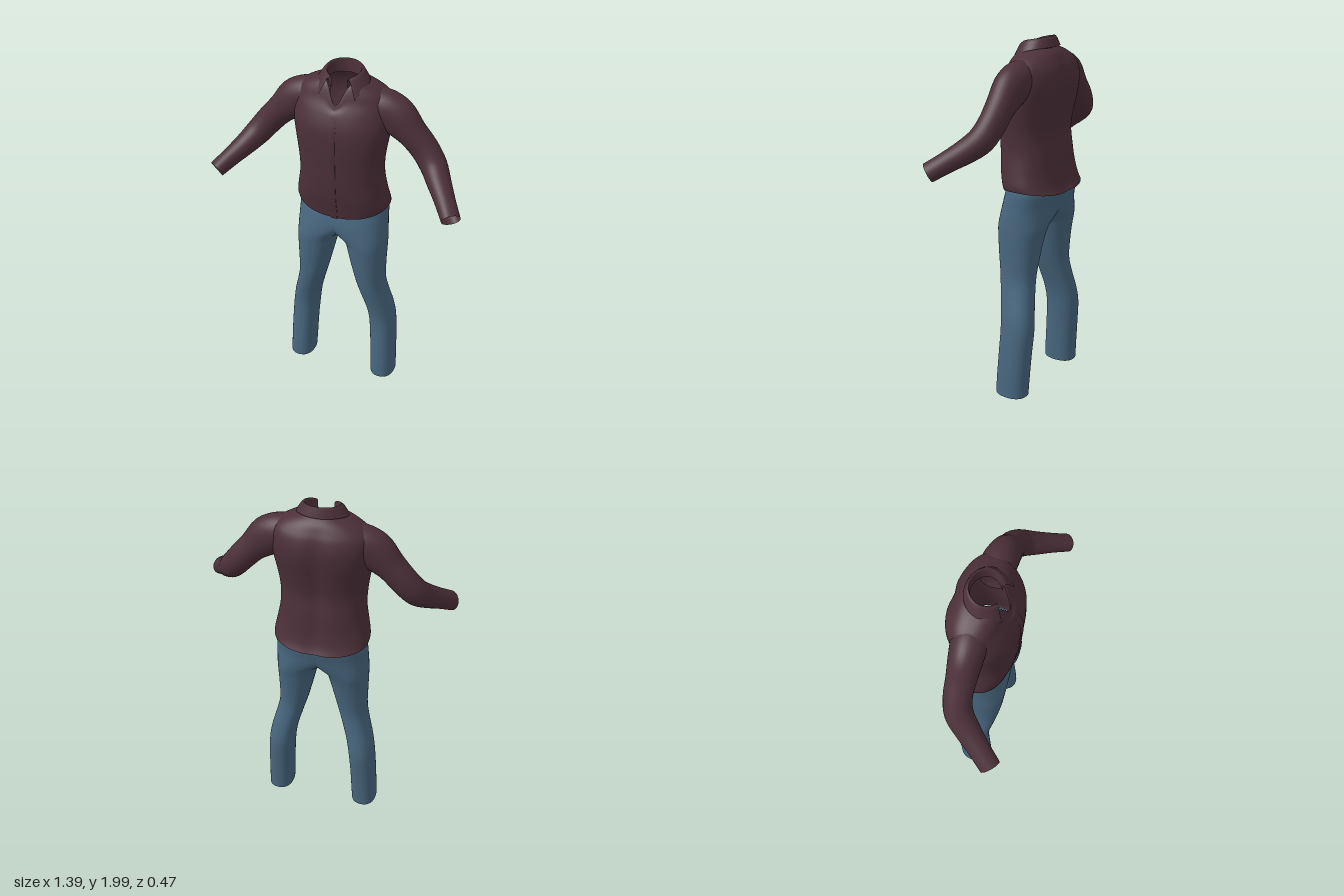
import * as THREE from 'three';

const V = (x, y, z) => new THREE.Vector3(x, y, z);

// Smoothly interpolate rows of numbers (Catmull-Rom), n steps per span
function spline(keys, n) {
  const out = [];
  const at = (i) => keys[Math.max(0, Math.min(keys.length - 1, i))];
  for (let i = 0; i < keys.length - 1; i++) {
    for (let s = 0; s < n; s++) {
      const t = s / n, t2 = t * t, t3 = t2 * t;
      out.push(keys[i].map((b, k) => {
        const a = at(i - 1)[k], c = at(i + 1)[k], d = at(i + 2)[k];
        return 0.5 * (2 * b + (c - a) * t + (2 * a - 5 * b + 4 * c - d) * t2 + (3 * b - a - 3 * c + d) * t3);
      }));
    }
  }
  out.push(keys[keys.length - 1]);
  return out;
}

// Skin a list of rings; rings run counter-clockwise around the direction of travel
function loft(rings, closed = true) {
  const n = rings[0].length, pos = [], idx = [];
  rings.forEach((r) => r.forEach((p) => pos.push(p.x, p.y, p.z)));
  for (let i = 0; i < rings.length - 1; i++) {
    for (let j = 0; j < (closed ? n : n - 1); j++) {
      const k = (j + 1) % n, a = i * n + j, b = i * n + k, c = a + n, d = b + n;
      idx.push(a, b, d, a, d, c);
    }
  }
  const g = new THREE.BufferGeometry();
  g.setAttribute('position', new THREE.Float32BufferAttribute(pos, 3));
  g.setIndex(idx);
  g.computeVertexNormals();
  return g;
}

function mirrorX(geo) {
  const g = geo.clone().scale(-1, 1, 1), ix = g.index.array;
  for (let i = 0; i < ix.length; i += 3) [ix[i + 1], ix[i + 2]] = [ix[i + 2], ix[i + 1]];
  g.computeVertexNormals();
  return g;
}

const spow = (v, e) => Math.sign(v) * Math.abs(v) ** e;
const bump = (x, w) => Math.exp(-((x / w) ** 2));

// Rounded horizontal cross-section, rule may shift each point
function section(n, cx, hw, zf, zb, power, y, rule) {
  const ring = [];
  for (let j = 0; j < n; j++) {
    const a = (j / n) * Math.PI * 2, c = Math.cos(a), s = -Math.sin(a);
    const p = V(cx + hw * spow(c, 2 / power), y, (zf + zb) / 2 + ((zf - zb) / 2) * spow(s, 2 / power));
    if (rule) rule(p, c, s);
    ring.push(p);
  }
  return ring;
}

export function createModel() {
  const model = new THREE.Group();
  const shirtMat = new THREE.MeshStandardMaterial({ color: 0x4c3039, side: THREE.DoubleSide });
  shirtMat.name = 'maroon cloth';
  const denimMat = new THREE.MeshStandardMaterial({ color: 0x48677f, side: THREE.DoubleSide });
  denimMat.name = 'blue denim';
  const shirt = new THREE.Group(), trousers = new THREE.Group();
  shirt.name = 'shirt';
  trousers.name = 'trousers';
  model.add(shirt, trousers);
  const add = (parent, name, geo, mat) => {
    const m = new THREE.Mesh(geo, mat);
    m.name = name;
    parent.add(m);
    return m;
  };

  // Shirt body: y, half width, front z, back z, neck dip, hem curve, spine groove
  const body = spline([
    [1.165, 0.258, 0.10, -0.243, 0, 0.04, 0.008],
    [1.22, 0.26, 0.108, -0.222, 0, 0.015, 0.01],
    [1.30, 0.247, 0.122, -0.207, 0, 0, 0.012],
    [1.40, 0.23, 0.13, -0.197, 0, 0, 0.014],
    [1.50, 0.232, 0.132, -0.184, 0, 0, 0.016],
    [1.60, 0.245, 0.136, -0.197, 0, 0, 0.016],
    [1.70, 0.26, 0.13, -0.216, 0, 0, 0.016],
    [1.78, 0.26, 0.102, -0.222, 0, 0, 0.014],
    [1.84, 0.252, 0.07, -0.207, 0.04, 0, 0.008],
    [1.88, 0.225, 0.055, -0.185, 0.065, 0, 0.004],
    [1.915, 0.165, 0.042, -0.16, 0.09, 0, 0],
    [1.94, 0.1, 0.03, -0.13, 0.115, 0, 0],
  ], 4);
  const torso = add(shirt, 'shirtBody', loft(body.map(([y, hw, zf, zb, dip, hem, groove]) =>
    section(80, 0, hw, zf, zb, 2.35, y, (p, c, s) => {
      p.y += hem * c * c + (s < 0 ? hem * 0.4 * s * s : 0);
      if (s > 0) {
        const g = bump(p.x, 0.042);
        p.y -= dip * g;
        p.z += dip * 0.35 * g;
      } else p.z += groove * bump(p.x, 0.045);
    }))), shirtMat);
  torso.position.x = -0.01;

  // Button placket down the front
  const strip = body.filter((r) => r[0] < 1.79).map(([y, , zf]) =>
    [[-0.026, -0.002], [-0.024, 0.004], [0.01, 0.004], [0.012, -0.002]].map(([x, d]) => V(x, y - 0.003, zf + d)));
  add(shirt, 'placket', loft(strip, false), shirtMat);

  // Sleeves: centre x, y, z, radius across, radius front to back
  const arm = spline([
    [0.12, 1.815, -0.06, 0.075, 0.075],
    [0.20, 1.80, -0.06, 0.098, 0.09],
    [0.28, 1.757, -0.056, 0.105, 0.085],
    [0.36, 1.685, -0.053, 0.08, 0.076],
    [0.43, 1.61, -0.05, 0.074, 0.072],
    [0.49, 1.537, -0.025, 0.07, 0.072],
    [0.54, 1.482, 0.035, 0.061, 0.066],
    [0.595, 1.43, 0.108, 0.052, 0.058],
    [0.653, 1.375, 0.187, 0.046, 0.056],
  ], 4);
  const mid = arm.map((r) => V(r[0], r[1], r[2]));
  const sleeve = loft(arm.map((r, i) => {
    const d = mid[Math.min(i + 1, mid.length - 1)].clone().sub(mid[Math.max(i - 1, 0)]).normalize();
    const v = V(0, 0, 1).addScaledVector(d, -d.z).normalize();
    const u = v.clone().cross(d);
    return Array.from({ length: 32 }, (_, j) => {
      const a = (j / 32) * Math.PI * 2;
      return mid[i].clone().addScaledVector(u, r[3] * Math.cos(a)).addScaledVector(v, r[4] * Math.sin(a));
    });
  }));
  add(shirt, 'leftSleeve', sleeve, shirtMat);
  add(shirt, 'rightSleeve', mirrorX(sleeve), shirtMat);

  // Folded collar: stand, rolled top, and outer leaf ending in two points
  const collarRows = [0, 1, 2, 3, 4].map(() => []);
  for (let j = 0; j <= 48; j++) {
    const t = j / 24 - 1, f = t ** 4, phi = t * 2.62;
    const sx = Math.sin(phi), cz = Math.cos(phi), side = Math.sign(t);
    const top = 1.988 + 0.01 * cz - 0.02 * f;
    const at = (rx, rz, y, spread = 0, push = 0) =>
      V(sx * rx + side * spread * f - 0.006, y, -0.047 - cz * rz + push * f);
    collarRows[0].push(at(0.084, 0.074, 1.925 - 0.03 * f));
    collarRows[1].push(at(0.086, 0.076, top - 0.008));
    collarRows[2].push(at(0.094, 0.083, top));
    collarRows[3].push(at(0.106, 0.09, top - 0.012, 0.01, 0.004));
    collarRows[4].push(at(0.132, 0.103, 1.945 - 0.078 * Math.abs(t) ** 3, 0.03, 0.02));
  }
  add(shirt, 'collar', loft(collarRows, false), shirtMat);

  // Trouser legs, merging into the hips: y, inner x, outer x, front z, back z
  const leg = spline([
    [0.01, 0.192, 0.337, 0.055, -0.135],
    [0.10, 0.187, 0.334, 0.052, -0.14],
    [0.25, 0.18, 0.328, 0.042, -0.15],
    [0.40, 0.168, 0.318, 0.034, -0.16],
    [0.50, 0.152, 0.302, 0.042, -0.152],
    [0.60, 0.125, 0.276, 0.06, -0.138],
    [0.70, 0.096, 0.256, 0.076, -0.13],
    [0.82, 0.066, 0.255, 0.09, -0.142],
    [0.92, 0.042, 0.257, 0.098, -0.158],
    [0.985, 0.02, 0.257, 0.102, -0.173],
    [1.04, -0.06, 0.256, 0.102, -0.184],
    [1.11, -0.18, 0.253, 0.098, -0.197],
    [1.19, -0.235, 0.249, 0.083, -0.212],
    [1.25, -0.235, 0.235, 0.075, -0.195],
  ], 4);
  const legGeo = loft(leg.map(([y, xi, xo, zf, zb]) =>
    section(48, (xi + xo) / 2, (xo - xi) / 2, zf, zb, 2.3, y)));
  add(trousers, 'leftLeg', legGeo, denimMat);
  add(trousers, 'rightLeg', mirrorX(legGeo), denimMat);
  trousers.position.x = -0.007;

  return model;
}
